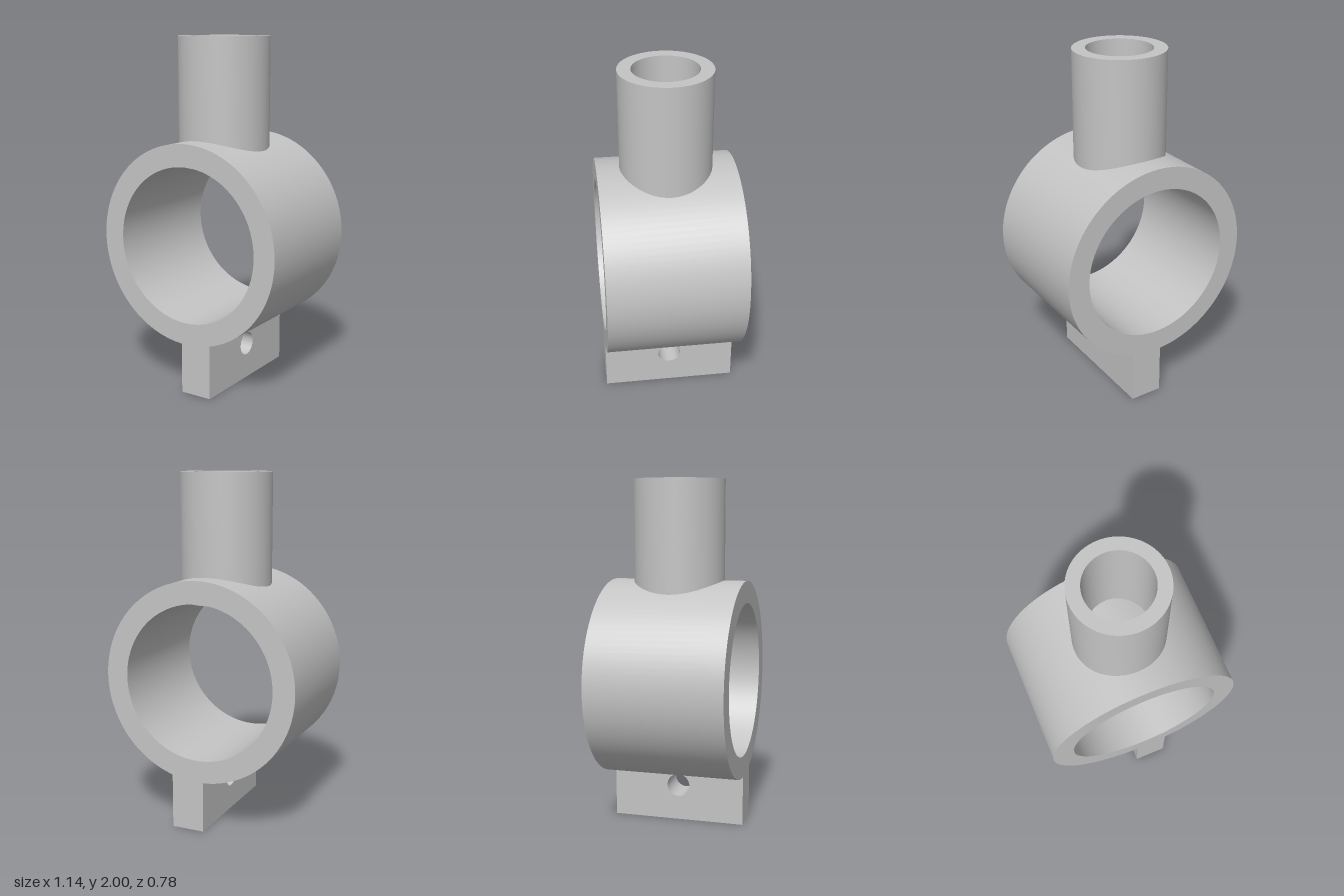
import * as THREE from 'three';
import { toCreasedNormals } from 'three/addons/utils/BufferGeometryUtils.js';

const SEGMENTS = 96;
const RING_Y = 0.86;
const HALF_DEPTH = 0.39;

// Revolve a hard-edged profile: smooth around, sharp at the rims
function turned(points) {
  const profile = points.map(([r, y]) => new THREE.Vector2(r, y));
  return toCreasedNormals(new THREE.LatheGeometry(profile, SEGMENTS), 0.6);
}

export function createModel() {
  const group = new THREE.Group();
  group.name = 'pipeClamp';
  const grey = new THREE.MeshStandardMaterial({ color: 0xc4c4c4 });
  grey.name = 'plain grey';

  const add = (name, geometry) => {
    const mesh = new THREE.Mesh(geometry, grey);
    mesh.name = name;
    group.add(mesh);
    return mesh;
  };

  // Clamp ring, bored from front to back
  const ring = turned([
    [0.57, -HALF_DEPTH], [0.57, HALF_DEPTH],
    [0.443, HALF_DEPTH], [0.443, -HALF_DEPTH], [0.57, -HALF_DEPTH],
  ]);
  ring.rotateX(Math.PI / 2);
  add('clampRing', ring).position.y = RING_Y;

  // Upright socket with a blind hole; its base pokes slightly into the bore
  add('socket', turned([
    [0, 1.272], [0.26, 1.272], [0.26, 2], [0.185, 2], [0.185, 1.4], [0, 1.4],
  ]));

  // Off-centre lug with a cross-drilled bolt hole
  const outline = new THREE.Shape([
    new THREE.Vector2(-HALF_DEPTH, 0), new THREE.Vector2(HALF_DEPTH, 0),
    new THREE.Vector2(HALF_DEPTH, 0.34), new THREE.Vector2(-HALF_DEPTH, 0.34),
  ]);
  const hole = new THREE.Path();
  hole.absarc(0, 0.21, 0.067, 0, Math.PI * 2, true);
  outline.holes.push(hole);
  const lug = new THREE.ExtrudeGeometry(outline, { depth: 0.19, bevelEnabled: false, curveSegments: 48 });
  lug.rotateY(Math.PI / 2);
  add('boltLug', toCreasedNormals(lug, 0.6)).position.x = -0.03;

  return group;
}
